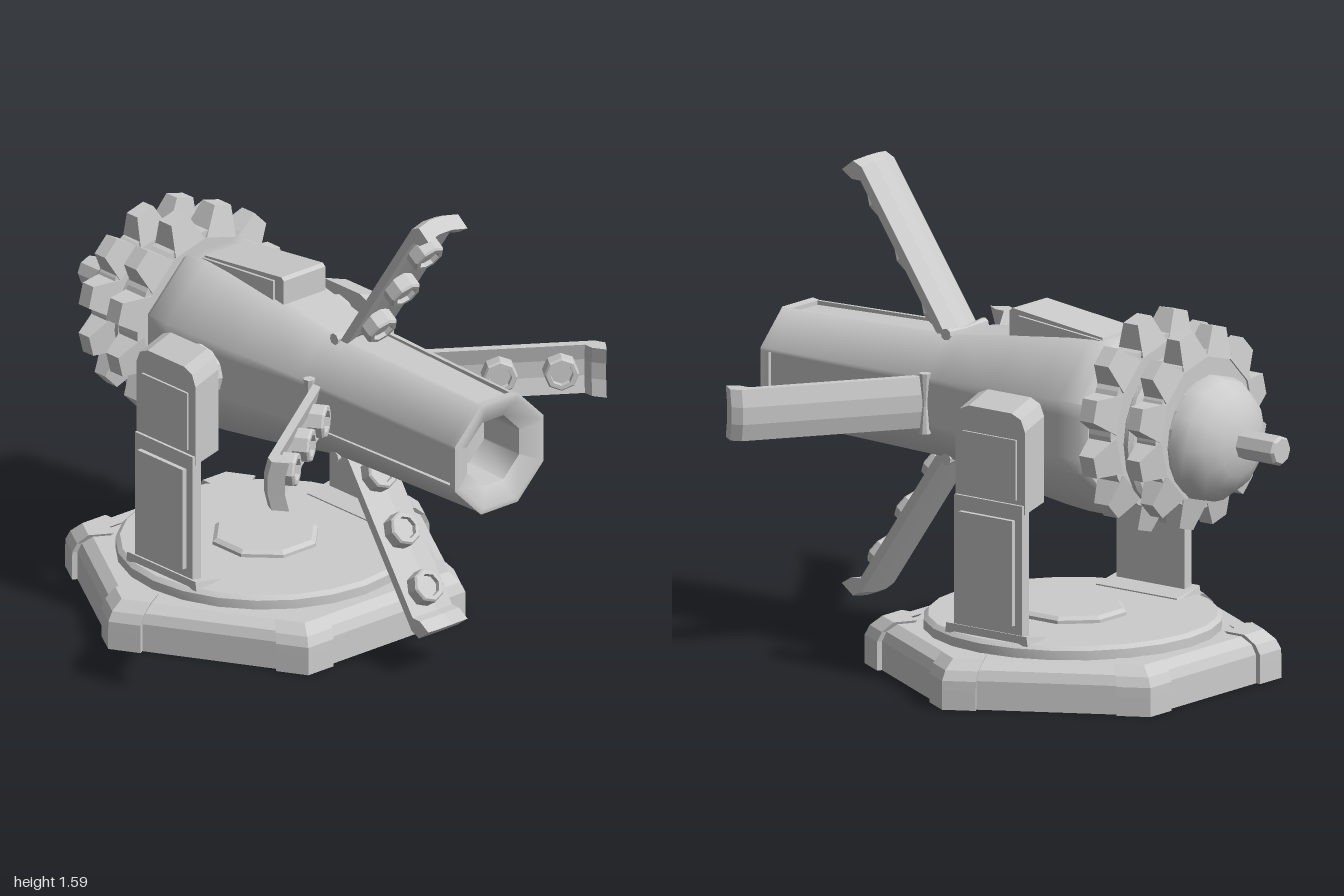
import * as THREE from 'three';
import { toCreasedNormals } from 'three/addons/utils/BufferGeometryUtils.js';

const AXIS_Y = 0.86, BASE_Z = -0.138;
const flat = new THREE.MeshStandardMaterial({ color: 0xcccccc, flatShading: true, side: THREE.DoubleSide });
const smooth = new THREE.MeshStandardMaterial({ color: 0xcccccc, side: THREE.DoubleSide });

function add(parent, name, geo, x = 0, y = 0, z = 0, mat = flat) {
  const m = new THREE.Mesh(geo, mat);
  m.name = name;
  m.position.set(x, y, z);
  parent.add(m);
  return m;
}
const shapeOf = pts => new THREE.Shape(pts.map(p => new THREE.Vector2(p[0], p[1])));
const lathe = (pts, n) => new THREE.LatheGeometry(pts.map(p => new THREE.Vector2(p[0], p[1])), n);

// Profile given as (z, y), extruded across x and centred
function sideExtrude(pts, width, steps = 1) {
  const g = new THREE.ExtrudeGeometry(shapeOf(pts), { depth: width, steps, bevelEnabled: false });
  return g.translate(0, 0, -width / 2).rotateY(-Math.PI / 2);
}

// Octagonal section whose four axis-aligned sides can carry a slot of depth d
function barrelSection(z, r, d) {
  const h = r * Math.tan(Math.PI / 8), w = Math.min(0.068, h * 0.86), out = [];
  for (let k = 0; k < 4; k++) {
    const c = Math.round(Math.cos(k * Math.PI / 2)), s = Math.round(Math.sin(k * Math.PI / 2));
    for (const [x, y] of [[r, -h], [r, -w], [r - d, -w], [r - d, w], [r, w], [r, h]])
      out.push([x * c - y * s, x * s + y * c, z]);
  }
  return out;
}

function barrelGeometry() {
  // z, radius, slot depth: from the bore floor, round the muzzle, to the rear cap
  const rings = [[0.8, 0, 0], [0.8, 0.108, 0], [0.965, 0.112, 0], [1, 0.174, 0], [0.996, 0.192, 0],
    [0.968, 0.188, 0], [0.968, 0.188, 0.014], [0.31, 0.204, 0.008], [0.31, 0.204, 0], [0.25, 0.212, 0],
    [0, 0.25, 0], [-0.2, 0.275, 0], [-0.3, 0.283, 0], [-0.385, 0.283, 0], [-0.41, 0.265, 0], [-0.41, 0, 0]]
    .map(s => barrelSection(...s));
  const pos = [], n = 24;
  for (let i = 0; i < rings.length - 1; i++)
    for (let j = 0; j < n; j++) {
      const a = rings[i][j], b = rings[i][(j + 1) % n], c = rings[i + 1][j], d = rings[i + 1][(j + 1) % n];
      pos.push(...a, ...c, ...b, ...b, ...c, ...d);
    }
  const g = new THREE.BufferGeometry();
  g.setAttribute('position', new THREE.Float32BufferAttribute(pos, 3));
  g.computeVertexNormals();
  return g;
}

// Hinged petal with three ring studs; local y runs to the tip, local z faces the studs
function createPetal() {
  const petal = new THREE.Group();
  petal.name = 'petal';
  const g = sideExtrude([[0, 0], [0.015, -0.012], [0.03, 0.03], [0.03, 0.58], [0.058, 0.6], [0.078, 0.645],
    [0.02, 0.648], [0, 0.615]], 0.17, 3);
  const p = g.attributes.position;
  for (let i = 0; i < p.count; i++) // fold the long edges towards the stud side
    if (Math.abs(p.getX(i)) > 0.05) p.setZ(i, p.getZ(i) + 0.014);
  add(petal, 'petalPlate', g);
  for (const y of [0.103, 0.3, 0.5])
    add(petal, 'petalStud', lathe([[0.058, 0], [0.058, 0.05], [0.052, 0.057], [0.038, 0.057], [0.036, 0.042],
      [0, 0.042]], 8).rotateX(Math.PI / 2), 0, y, 0.028);
  add(petal, 'petalHinge', lathe([[0, -0.1], [0.02, -0.1], [0.009, -0.01], [0.009, 0.01], [0.02, 0.1], [0, 0.1]], 8)
    .rotateZ(Math.PI / 2));
  return petal;
}

// Cog with twelve tapered blocky teeth, facing along z
function createCog(radius, root, thick) {
  const cog = new THREE.Group();
  cog.name = 'cog';
  add(cog, 'cogDisc', new THREE.CylinderGeometry(root, root, thick * 0.85, 24).rotateX(Math.PI / 2));
  const h = radius - root + 0.03;
  for (let i = 0; i < 12; i++) {
    const tooth = new THREE.CylinderGeometry(0.045, 0.08, h, 4, 1).rotateY(Math.PI / 4)
      .scale(1.15, 1, thick / 0.113).translate(0, root - 0.03 + h / 2, 0).rotateZ((i + 0.5) * Math.PI / 6);
    add(cog, 'cogTooth', tooth);
  }
  return cog;
}

function createBase() {
  const base = new THREE.Group();
  base.name = 'base';
  base.position.z = BASE_Z;
  // Hexagonal body with a round recess underneath
  const hex = [];
  for (let i = 0; i < 6; i++) hex.push([0.66 * Math.cos(i * Math.PI / 3), 0.66 * Math.sin(i * Math.PI / 3)]);
  const bottom = shapeOf(hex);
  bottom.holes.push(new THREE.Path().absarc(0, 0, 0.455, 0, Math.PI * 2, true));
  add(base, 'baseLower', new THREE.ExtrudeGeometry(bottom, { depth: 0.06, bevelEnabled: false, curveSegments: 12 })
    .rotateX(-Math.PI / 2));
  const upper = lathe([[0, 0.06], [0.66, 0.06], [0.66, 0.095], [0.645, 0.128], [0.605, 0.152], [0, 0.152]], 6);
  add(base, 'baseUpper', upper.rotateY(Math.PI / 2));
  // Corner guards wrapping the six vertices, drawn in towards the top
  const s = Math.sqrt(3) / 2, v = 0.68, e = 0.11, t = 0.09;
  const corner = shapeOf([[v, 0], [v - e / 2, e * s], [v - e / 2 - t * s, e * s - t / 2],
    [v - t * 1.15, 0], [v - e / 2 - t * s, -e * s + t / 2], [v - e / 2, -e * s]]);
  for (let i = 0; i < 6; i++) {
    const g = new THREE.ExtrudeGeometry(corner, { depth: 0.16, steps: 5, bevelEnabled: false }).rotateX(-Math.PI / 2);
    const p = g.attributes.position;
    for (let k = 0; k < p.count; k++) {
      const f = 1 - 0.085 * Math.max(0, (p.getY(k) - 0.09) / 0.07) ** 2;
      p.setX(k, p.getX(k) * f);
      p.setZ(k, p.getZ(k) * f);
    }
    add(base, 'cornerGuard', g.rotateY(i * Math.PI / 3));
  }
  // Turntable and its central boss
  add(base, 'turntable', toCreasedNormals(lathe([[0, 0.15], [0.485, 0.15], [0.485, 0.183], [0.47, 0.196], [0, 0.196]], 24), 0.5),
    0, 0, 0, smooth);
  add(base, 'centreBoss', lathe([[0.18, 0.19], [0.18, 0.207], [0.165, 0.218], [0, 0.218]], 8).rotateY(Math.PI / 8));
  return base;
}

function createArm(side) {
  const arm = new THREE.Group();
  arm.name = side > 0 ? 'leftArm' : 'rightArm';
  const box = (name, x, y, z, w, h, d) => add(arm, name, new THREE.BoxGeometry(w, h, d), side * x, y, z + BASE_Z);
  // Rounded top of the arm seen from the side
  const upright = (y0, y1, c, half) => [[-half, y0], [half, y0], [half, y1 - c], [half - c * 0.3, y1 - c * 0.3],
    [half - c, y1], [-half + c, y1], [-half + c * 0.3, y1 - c * 0.3], [-half, y1 - c]];
  box('armLeg', 0.422, 0.42, 0, 0.036, 0.46, 0.28);
  const head = sideExtrude(upright(0.63, 0.985, 0.055, 0.143), 0.1);
  const p = head.attributes.position;
  for (let i = 0; i < p.count; i++) { // slope the underside and shoulder of the head
    const x = p.getX(i) * side, y = p.getY(i);
    if (x > 0 && y < 0.64) p.setY(i, 0.62);
    if (x < 0 && y < 0.64) p.setY(i, 0.645);
    if (x > 0 && y > 0.9) p.setY(i, y - 0.035);
  }
  add(arm, 'armHead', head, side * 0.38, 0, BASE_Z);
  box('upperPanel', 0.43, 0.765, 0, 0.016, 0.2, 0.22);
  box('lowerPanel', 0.446, 0.425, 0, 0.02, 0.35, 0.22);
  // Foot flange, sloping down towards the middle of the turntable
  const foot = sideExtrude([[-0.17, 0.19], [0.17, 0.19], [0.165, 0.222], [-0.165, 0.222]], 0.12);
  const f = foot.attributes.position;
  for (let i = 0; i < f.count; i++)
    if (f.getX(i) * side < 0 && f.getY(i) > 0.2) f.setY(i, 0.2);
  add(arm, 'armFoot', foot, side * 0.39, 0, BASE_Z);
  const pivot = lathe([[0, 0], [0.075, 0], [0.092, 0.02], [0.092, 0.11], [0, 0.11]], 12).rotateZ(-Math.PI / 2 * side);
  add(arm, 'pivot', pivot, side * 0.235, AXIS_Y, BASE_Z - 0.01);
  return arm;
}

export function createModel() {
  const model = new THREE.Group();
  model.name = 'cannon';
  model.add(createBase(), createArm(1), createArm(-1));

  const gun = new THREE.Group();
  gun.name = 'gun';
  gun.position.y = AXIS_Y;
  model.add(gun);
  add(gun, 'barrel', toCreasedNormals(barrelGeometry(), 0.82), 0, 0, 0, smooth);

  // Four petals around the barrel
  for (let i = 0; i < 4; i++) {
    const mount = new THREE.Group(), petal = createPetal();
    mount.name = 'petalMount';
    mount.rotation.z = i * Math.PI / 2;
    petal.position.set(0, 0.207, 0.307);
    petal.rotation.x = 0.6;
    mount.add(petal);
    gun.add(mount);
  }

  // Wedge housing on top of the barrel
  add(gun, 'topHousing', sideExtrude([[0.052, 0.2], [0.052, 0.325], [0.04, 0.335], [-0.33, 0.292], [-0.35, 0.22]], 0.18));
  add(gun, 'topHousingPanel', sideExtrude([[0.01, 0.2], [0.01, 0.315], [-0.33, 0.285], [-0.34, 0.2]], 0.2));

  // Cogs, spacer and core behind the barrel
  const cogs = [[-0.478, 0.362, 0.29, 0.105], [-0.648, 0.332, 0.262, 0.09]];
  for (const [z, r, root, t] of cogs) {
    const cog = createCog(r, root, t);
    cog.position.set(0, 0.028, z);
    gun.add(cog);
  }
  add(gun, 'core', new THREE.CylinderGeometry(0.2, 0.2, 0.34, 20).rotateX(Math.PI / 2), 0, 0, -0.56);
  const spacer = lathe([[0, -0.02], [0.25, -0.02], [0.264, -0.008], [0.264, 0.008], [0.25, 0.02], [0, 0.02]], 20);
  add(gun, 'spacerRing', toCreasedNormals(spacer.rotateX(Math.PI / 2), 0.5), 0, 0, -0.565, smooth);

  // Rear dome and pin; the lathe axis points backwards
  const dome = lathe([[0, 0.7], [0.21, 0.7], [0.21, 0.722], [0.198, 0.758], [0.162, 0.802], [0.11, 0.832],
    [0.05, 0.848], [0, 0.85]], 12).rotateX(-Math.PI / 2);
  add(gun, 'rearDome', toCreasedNormals(dome, 0.7), 0, 0, 0, smooth);
  const pin = lathe([[0.05, 0.83], [0.05, 0.99], [0.042, 1], [0, 1]], 8);
  add(gun, 'rearPin', pin.rotateX(-Math.PI / 2));
  return model;
}
